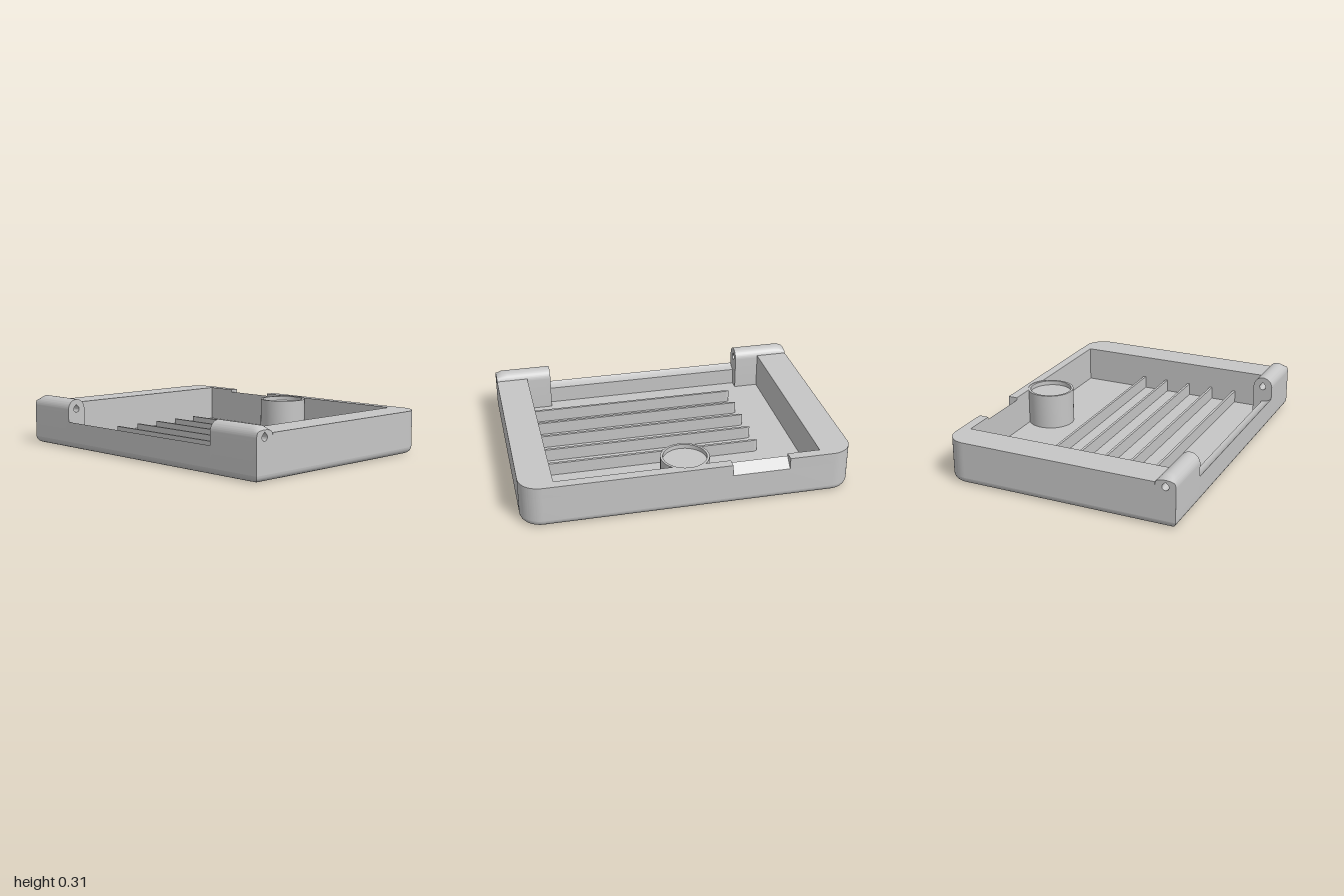
import * as THREE from 'three';
import { toCreasedNormals } from 'three/addons/utils/BufferGeometryUtils.js';

const FLOOR = 0.04, RIM = 0.265, NOTCH = 0.195;
const LEFT = -0.74, RIGHT = 0.735, HINGE = -0.615, INNER = 0.675;
const CORNER = 0.13, CUP_X = 0.563, CUP_R = 0.147;
const PIN_X = -0.6775, PIN_Y = 0.245;

// Plan outline (shape y = -z), square at the hinge side, rounded opposite
function outline(inset) {
  const s = new THREE.Shape(), r = CORNER - inset, c = RIGHT - CORNER, k = 1 - CORNER;
  s.moveTo(LEFT + inset, -1 + inset);
  s.lineTo(c, -1 + inset);
  s.absarc(c, -k, r, -Math.PI / 2, 0, false);
  s.absarc(c, k, r, 0, Math.PI / 2, false);
  s.lineTo(LEFT + inset, 1 - inset);
  return s;
}

// Wall plan: front and/or back half, leaving a notch between them unless joined
function wallShape(front, back) {
  const s = new THREE.Shape(), c = RIGHT - CORNER, k = 1 - CORNER;
  const a = Math.acos((INNER - CUP_X) / CUP_R);
  if (front) {
    s.moveTo(HINGE, -0.8);
    s.lineTo(HINGE, -1);
    s.absarc(c, -k, CORNER, -Math.PI / 2, 0, false);
  }
  if (front && !back) {
    s.lineTo(RIGHT, 0.25);
    s.lineTo(INNER, 0.25);
  }
  if (back) {
    if (!front) {
      s.moveTo(INNER, 0.6);
      s.lineTo(RIGHT, 0.6);
    }
    s.absarc(c, k, CORNER, 0, Math.PI / 2, false);
    s.lineTo(HINGE, 1);
    s.lineTo(HINGE, 0.8);
    s.lineTo(INNER, 0.8);
  }
  if (front) {
    s.absarc(CUP_X, 0, CUP_R, a, -a, true); // pocket for the cup
    s.lineTo(INNER, -0.8);
  }
  return s;
}

function extrude(shape, depth, steps = 1) {
  return new THREE.ExtrudeGeometry(shape, { depth, steps, bevelEnabled: false, curveSegments: 20 });
}

function polygon(points) {
  return new THREE.Shape(points.map(([x, y]) => new THREE.Vector2(x, y)));
}

// Rounded underside edge, lofted through inset outlines
function baseEdge() {
  const pos = [], index = [], layers = 6;
  let n = 0;
  for (let i = 0; i <= layers; i++) {
    const t = (i / layers) * Math.PI / 2;
    const pts = outline(FLOOR * (1 - Math.sin(t))).getPoints(16);
    n = pts.length;
    for (const p of pts) pos.push(p.x, FLOOR * (1 - Math.cos(t)), -p.y);
  }
  for (let i = 0; i < layers; i++) {
    for (let j = 0; j < n; j++) {
      const a = i * n + j, b = i * n + (j + 1) % n;
      index.push(a, b, b + n, a, b + n, a + n);
    }
  }
  const g = new THREE.BufferGeometry();
  g.setAttribute('position', new THREE.Float32BufferAttribute(pos, 3));
  g.setIndex(index);
  return toCreasedNormals(g, 0.6);
}

export function createModel() {
  const group = new THREE.Group();
  const grey = new THREE.MeshStandardMaterial({ color: 0xc6c6c6 });
  grey.name = 'plain grey';
  const add = (name, geometry) => {
    const m = new THREE.Mesh(geometry, grey);
    m.name = name;
    group.add(m);
  };

  // Base: underside, rounded edge, floor
  add('baseEdge', baseEdge());
  add('underside', new THREE.ShapeGeometry(outline(FLOOR), 16).rotateX(Math.PI / 2));
  add('floor', new THREE.ShapeGeometry(outline(0), 16).rotateX(-Math.PI / 2).translate(0, FLOOR, 0));

  // Walls: full lower layer, upper layer split by the notch
  const wall = (name, shape, y0, y1) =>
    add(name, toCreasedNormals(extrude(shape, y1 - y0).rotateX(-Math.PI / 2).translate(0, y0, 0), 0.6));
  wall('lowerWall', wallShape(true, true), FLOOR, NOTCH);
  wall('upperWallFront', wallShape(true, false), NOTCH, RIM);
  wall('upperWallBack', wallShape(false, true), NOTCH, RIM);

  // Sloped thumb notch
  add('thumbNotch', extrude(polygon([[INNER, NOTCH], [RIGHT, NOTCH], [INNER, 0.25]]), 0.35).translate(0, 0, -0.6));

  // Low wall between the hinges with a hollowed top
  const low = new THREE.Shape();
  low.moveTo(LEFT, FLOOR);
  low.lineTo(-0.675, FLOOR);
  low.absarc(PIN_X, PIN_Y, 0.1, -Math.PI / 2 + 0.025, -Math.PI / 2 - 0.675, true);
  low.lineTo(LEFT, FLOOR);
  add('hingeSideWall', toCreasedNormals(extrude(low, 1.29).translate(0, 0, -0.645), 0.6));

  // Hinge blocks with a drop-shaped pin hole and chamfered outer end
  const hinge = new THREE.Shape();
  hinge.moveTo(LEFT, FLOOR);
  hinge.lineTo(HINGE, FLOOR);
  hinge.absarc(PIN_X, PIN_Y, 0.0625, 0, Math.PI, false);
  const hole = new THREE.Path();
  hole.moveTo(PIN_X, 0.274);
  hole.lineTo(PIN_X - 0.017, 0.257);
  hole.absarc(PIN_X, PIN_Y, 0.021, Math.PI * 0.8, Math.PI * 2.2, false);
  hole.lineTo(PIN_X, 0.274);
  hinge.holes.push(hole);
  for (const [name, z] of [['frontHinge', 0.645], ['backHinge', -1]]) {
    const g = extrude(hinge, 0.355, 10).translate(0, 0, z);
    const p = g.attributes.position;
    for (let i = 0; i < p.count; i++) {
      if (Math.abs(p.getZ(i)) > 0.99 && p.getY(i) > 0.276) p.setY(i, 0.276 + (p.getY(i) - 0.276) * 0.3);
    }
    add(name, toCreasedNormals(g, 0.6));
  }

  // Ribs on the floor, pointed at the back end
  const rib = polygon([[-0.008, -0.8], [0.008, -0.8], [0.008, 0.525], [0, 0.545], [-0.008, 0.525]]);
  for (let i = 0; i < 5; i++) {
    add('rib' + (i + 1), extrude(rib, 0.08).rotateX(-Math.PI / 2).translate(-0.425 + i * 0.1675, FLOOR, 0));
  }

  // Round cup with a shallow recess
  const profile = [[CUP_R, FLOOR], [CUP_R, 0.262], [0.132, 0.262], [0.132, 0.235], [0, 0.235]];
  const cup = new THREE.LatheGeometry(profile.map(([x, y]) => new THREE.Vector2(x, y)), 48);
  add('cup', toCreasedNormals(cup, 0.6).translate(CUP_X, 0, 0));

  return group;
}
